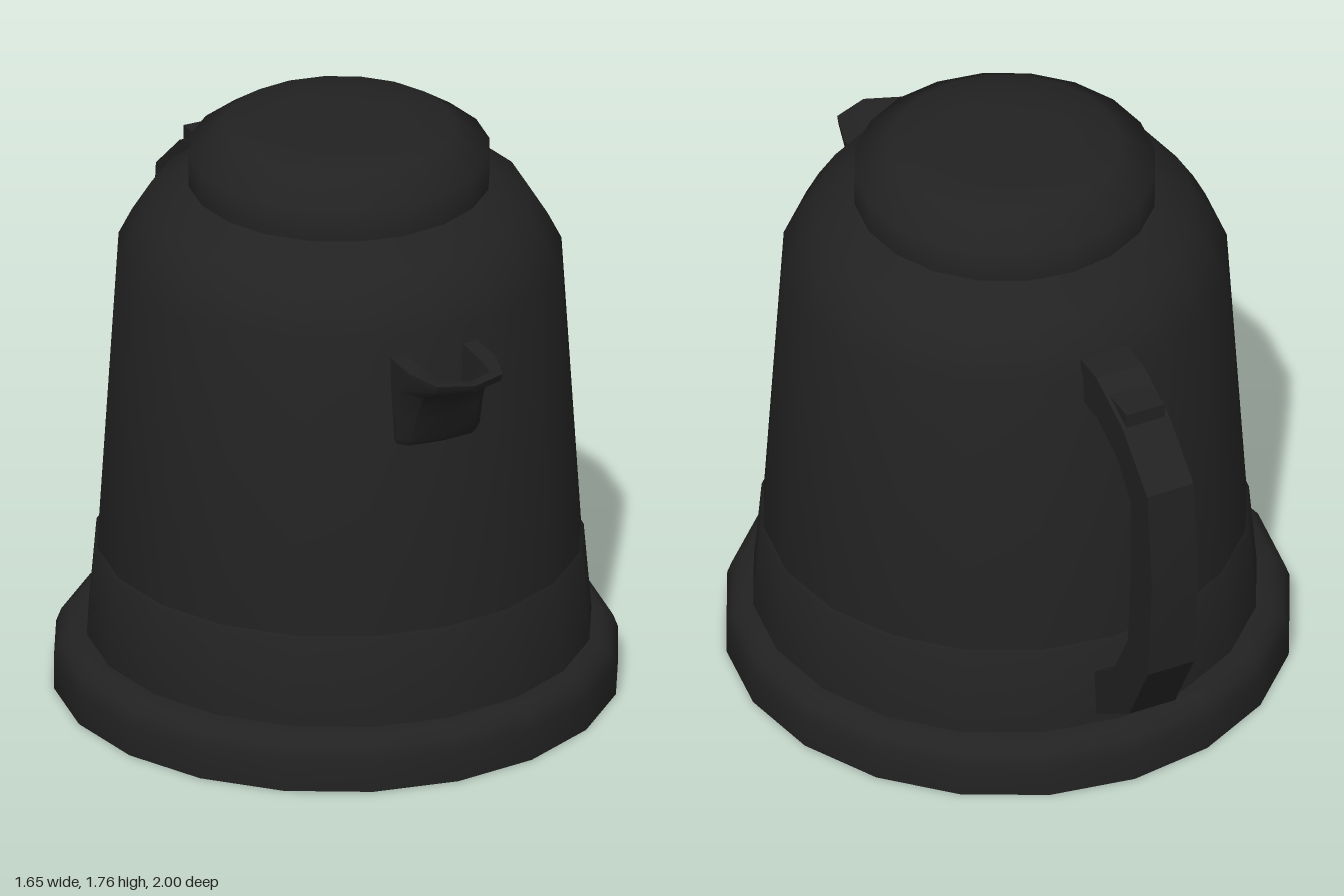
import * as THREE from 'three';
import { toCreasedNormals } from 'three/addons/utils/BufferGeometryUtils.js';

const SIDES = 20;
const CX = 0.01, CZ = 0.086; // axis of the pot
const dark = new THREE.MeshStandardMaterial({ color: 0x222222 });
const darkThin = new THREE.MeshStandardMaterial({ color: 0x222222, side: THREE.DoubleSide });

function addPart(group, name, geometry, material = dark, crease = 0.6) {
  const mesh = new THREE.Mesh(toCreasedNormals(geometry, crease), material);
  mesh.name = name;
  group.add(mesh);
  return mesh;
}

// Turned part from [radius, height] pairs, listed bottom to top
function turned(profile, x = CX) {
  const points = profile.map(([r, y]) => new THREE.Vector2(r, y));
  return new THREE.LatheGeometry(points, SIDES).translate(x, 0, CZ);
}

// Side profile of [depth behind centre, height], given thickness across x
function slab(outline, width) {
  const shape = new THREE.Shape(outline.map(([d, y]) => new THREE.Vector2(d, y)));
  const geometry = new THREE.ExtrudeGeometry(shape, { depth: width, bevelEnabled: false });
  return geometry.rotateY(Math.PI / 2).translate(-width / 2, 0, 0);
}

// Open trough: U-shaped rings go up the outside, over the rim and down the inside
function spoutGeometry() {
  const back = 0.70;
  // height, half width at back, half width at front corners, corner depth, tip depth
  const rings = [
    [1.03, 0.02, 0.01, 0.70, 0.70],
    [1.03, 0.13, 0.10, 0.765, 0.775],
    [1.05, 0.135, 0.10, 0.78, 0.79],
    [1.14, 0.138, 0.10, 0.81, 0.825],
    [1.22, 0.14, 0.10, 0.86, 0.885],
    [1.275, 0.14, 0.105, 0.95, 0.99],
    [1.30, 0.14, 0.105, 0.96, 1.00],
    [1.30, 0.09, 0.08, 0.93, 0.965],
    [1.25, 0.085, 0.07, 0.86, 0.885],
    [1.17, 0.08, 0.06, 0.79, 0.80],
    [1.10, 0.07, 0.05, 0.74, 0.74],
  ];
  const position = [], index = [], count = 7;
  for (const [y, wb, wf, zc, zt] of rings) {
    const zm = back + (zc - back) * 0.55;
    const half = [[wb, back], [wb, zm], [wf, zc]];
    const mirrored = half.map(([x, z]) => [-x, z]).reverse();
    for (const [x, z] of [...half, [0, zt], ...mirrored]) position.push(x, y, z);
  }
  for (let j = 0; j < rings.length - 1; j++) {
    for (let i = 0; i < count - 1; i++) {
      const a = j * count + i, b = a + count;
      index.push(a, b, a + 1, a + 1, b, b + 1);
    }
  }
  const geometry = new THREE.BufferGeometry();
  geometry.setAttribute('position', new THREE.Float32BufferAttribute(position, 3));
  geometry.setIndex(index);
  return geometry.translate(0.013, 0, 0);
}

export function createModel() {
  const group = new THREE.Group();
  group.name = 'coffeePot';

  // Wide foot with a rounded upper edge
  addPart(group, 'base', turned([
    [0, 0], [0.825, 0], [0.825, 0.095], [0.81, 0.135], [0.78, 0.158], [0.74, 0.165], [0.66, 0.165],
  ], 0), dark, 0.9);

  // Lower band, a touch proud of the body
  addPart(group, 'lowerBand', turned([
    [0.738, 0.16], [0.715, 0.43], [0.704, 0.445],
  ]), dark, 0.9);

  // Tapered body with rounded shoulder
  addPart(group, 'body', turned([
    [0.708, 0.43], [0.65, 1.35], [0.61, 1.43], [0.554, 1.52], [0.44, 1.58], [0.4, 1.585],
  ]), dark, 0.9);

  // Lid with chamfered rim and slightly domed top
  addPart(group, 'lid', turned([
    [0.4, 1.58], [0.44, 1.58], [0.44, 1.68], [0.335, 1.75], [0.22, 1.76], [0, 1.76],
  ]), dark, 1.1);

  // Angular loop handle
  addPart(group, 'handle', slab([
    [0.535, 1.27], [0.64, 1.27], [0.77, 1.215], [0.865, 1.11], [0.865, 0.88], [0.845, 0.6],
    [0.745, 0.42], [0.62, 0.335], [0.62, 0.18], [0.85, 0.335], [0.975, 0.56], [1.0, 0.9],
    [0.97, 1.2], [0.81, 1.34], [0.64, 1.41], [0.535, 1.41],
  ], 0.15), dark, 0.3);

  // Thumb rest on top of the handle
  addPart(group, 'thumbRest', slab([
    [0.66, 1.33], [0.81, 1.32], [0.81, 1.385], [0.69, 1.385],
  ], 0.125), dark, 0.3);

  // Pouring lip
  addPart(group, 'spout', spoutGeometry(), darkThin, 0.65);

  return group;
}
